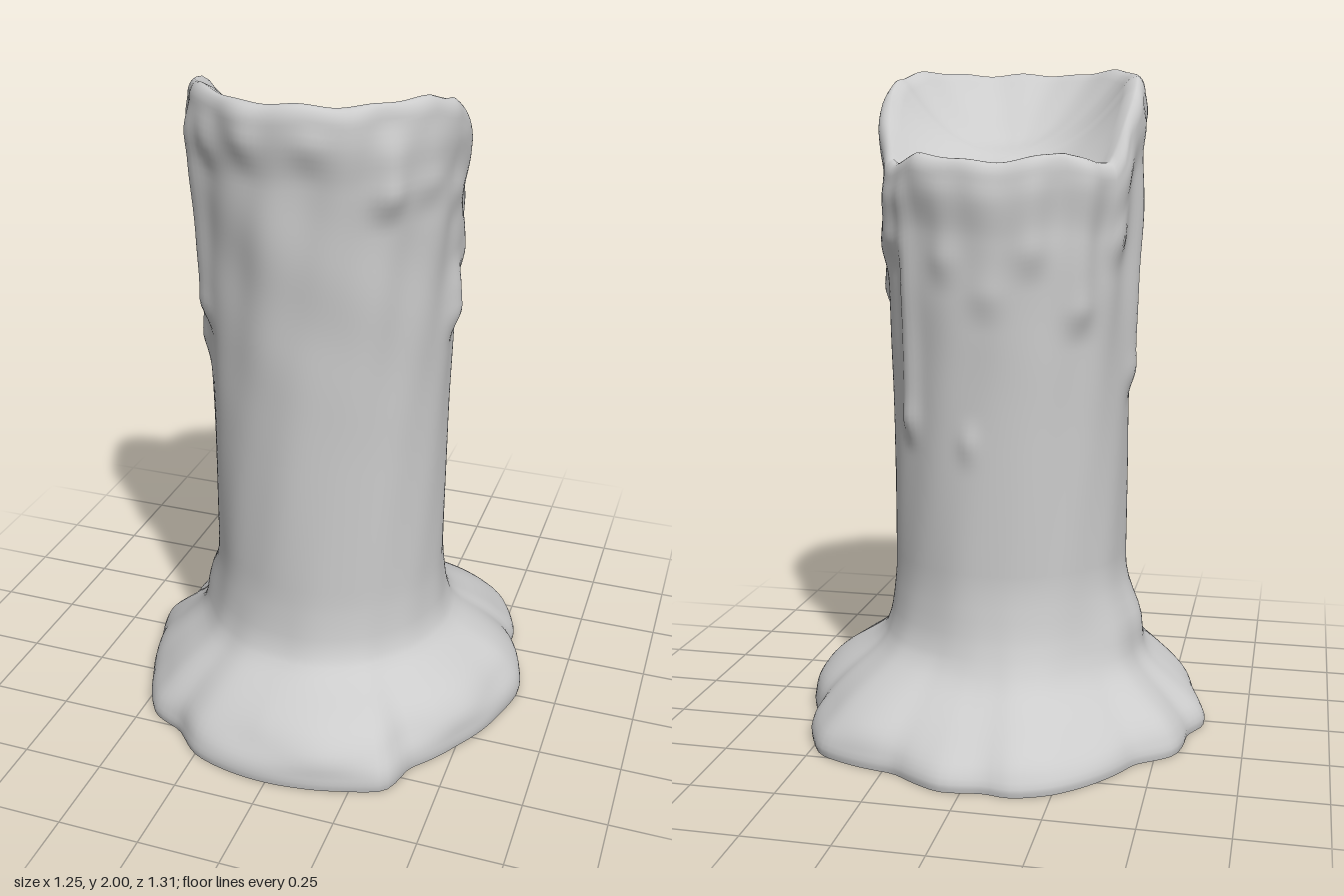
import * as THREE from 'three';

const SEG = 144, TAU = Math.PI * 2;

// Puddle outline seen from above, as x, z pairs
const outline = [
  [0.09, 0.65], [0.23, 0.62], [0.36, 0.575], [0.39, 0.457], [0.505, 0.305], [0.6, 0.1], [0.63, -0.02],
  [0.61, -0.11], [0.54, -0.25], [0.55, -0.31], [0.465, -0.49], [0.215, -0.565], [0.06, -0.655],
  [-0.065, -0.635], [-0.135, -0.655], [-0.25, -0.61], [-0.385, -0.475], [-0.45, -0.36], [-0.56, -0.28],
  [-0.58, -0.19], [-0.58, -0.12], [-0.63, -0.035], [-0.585, 0.12], [-0.53, 0.305], [-0.45, 0.47],
  [-0.34, 0.515], [-0.255, 0.605], [-0.19, 0.63],
].map(([x, z]) => [(Math.atan2(x, z) + TAU) % TAU, Math.hypot(x, z)]).sort((a, b) => a[0] - b[0]);

// Wax runs: angle from the front, top y, bottom y, half width, thickness
const drips = [
  [0.2, 1.93, 1.84, 0.13, 0.01], [-0.27, 1.94, 1.83, 0.12, 0.012], [-0.68, 1.94, 1.8, 0.13, 0.016],
  [0.75, 1.9, 1.7, 0.13, 0.024], [-0.95, 1.9, 1.3, 0.12, 0.02], [-1.3, 1.9, 1.15, 0.14, 0.016],
  [1.1, 1.9, 1.72, 0.15, 0.016], [1.6, 1.45, 1.28, 0.14, 0.022], [1.55, 1.9, 1.66, 0.16, 0.014],
  [1.9, 1.6, 1.42, 0.18, 0.012], [2.2, 1.66, 1.45, 0.16, 0.02], [2.4, 1.66, 0.92, 0.1, 0.018],
  [2.8, 1.68, 1.4, 0.13, 0.012], [3.15, 1.66, 1.3, 0.14, 0.01], [3.5, 1.68, 1.42, 0.13, 0.012],
  [3.9, 1.7, 1.25, 0.13, 0.016], [3.0, 0.95, 0.88, 0.08, 0.01], [4.3, 1.75, 1.45, 0.15, 0.016],
  [4.7, 1.85, 1.05, 0.13, 0.018],
];

const { smoothstep: smooth, lerp, clamp } = THREE.MathUtils;

// Piecewise linear lookup in rows of [key, value]
function lookup(rows, t) {
  if (t <= rows[0][0]) return rows[0][1];
  for (let i = 1; i < rows.length; i++) {
    if (t <= rows[i][0]) {
      const [a, b] = [rows[i - 1], rows[i]];
      return a[1] + (b[1] - a[1]) * (t - a[0]) / (b[0] - a[0]);
    }
  }
  return rows[rows.length - 1][1];
}

const wrapped = [...outline.slice(-1).map(([a, r]) => [a - TAU, r]), ...outline,
  ...outline.slice(0, 1).map(([a, r]) => [a + TAU, r])];
const puddleRadius = a =>
  (lookup(wrapped, a) * 2 + lookup(wrapped, (a + 0.04) % TAU) + lookup(wrapped, (a + TAU - 0.04) % TAU)) / 4;

// Rim stays high at the front and slumps toward the back
const rimRows = [[-0.37, 1.72], [-0.3, 1.74], [-0.22, 1.715], [-0.17, 1.72], [-0.1, 1.81],
  [0, 1.915], [0.08, 1.965], [0.2, 1.985], [0.35, 1.99], [0.43, 1.985]];
const rimHeight = a => lookup(rimRows, 0.03 + 0.4 * Math.cos(a)) + 0.004 * Math.sin(a * 7 + 1) + 0.003 * Math.sin(a * 13);

// Column radius with roughness and wax runs
function columnRadius(a, y) {
  const h = rimHeight(a), up = smooth(y, 0.9, 1.8);
  let r = 0.36 + 0.018 * up + 0.014 * smooth(y, h - 0.22, h - 0.08);
  r += (0.001 + 0.003 * up) * (Math.sin(a * 9 + y * 2) + Math.sin(a * 14 - y * 7 + 2));
  r += 0.003 * up * Math.sin(y * 17 + a * 4);
  for (const [da, top, bottom, w, t] of drips) {
    const d = Math.atan2(Math.sin(a - da), Math.cos(a - da)) / w;
    const end = 1 + 0.4 * Math.exp(-(((y - bottom - 0.04) / 0.06) ** 2));
    r += t * end * Math.exp(-d * d) * smooth(y, bottom - 0.06, bottom + 0.06) * (1 - smooth(y, top - 0.06, top + 0.06));
  }
  return r;
}

const columnPoint = (a, y, r) => new THREE.Vector3(Math.sin(a) * r - 0.005, y, Math.cos(a) * r + 0.02 + 0.012 * smooth(y, 1.3, 1.8));

// Foot spread from column (0) to puddle edge (1) by height: full lobes and slack slopes
const lobed = [[0, 0.985], [0.02, 1], [0.06, 0.99], [0.1, 0.93], [0.14, 0.83], [0.17, 0.72], [0.2, 0.55],
  [0.24, 0.25], [0.28, 0.1], [0.34, 0.04], [0.45, 0]];
const slack = [[0, 0.985], [0.02, 1], [0.05, 0.97], [0.08, 0.88], [0.11, 0.75], [0.14, 0.6], [0.18, 0.4],
  [0.22, 0.26], [0.28, 0.15], [0.35, 0.07], [0.48, 0]];
const footHeights = [0, 0.012, 0.025, 0.04, 0.055, 0.07, 0.085, 0.1, 0.115, 0.13, 0.145, 0.16, 0.175, 0.19, 0.205,
  0.22, 0.235, 0.25, 0.27, 0.29, 0.32, 0.35, 0.39, 0.43, 0.47, 0.51];
const taps = [-0.024, -0.012, 0, 0.012, 0.024];

function footPoint(a, y) {
  const edge = puddleRadius(a);
  const full = clamp(0.5 + 0.6 * Math.cos(a - 0.8) + 0.15 * Math.sin(a * 5 + 1), 0, 1);
  const ripple = 1 + 0.05 * Math.sin(a * 8 - 0.6) * smooth(y, 0.04, 0.12);
  // averaging neighbouring heights rounds the corners of the slope
  const spreadAt = t => lerp(lookup(slack, t), lookup(lobed, t), full);
  let spread = y < 0.03 ? spreadAt(y) : taps.reduce((sum, d) => sum + spreadAt(y + d), 0) / taps.length;
  // wax banked up against the right-hand flank
  spread += 0.12 * Math.exp(-(((a - 4.71) / 0.5) ** 2) - ((y - 0.33) / 0.08) ** 2);
  const p = columnPoint(a, y, columnRadius(a, y));
  return p.lerp(new THREE.Vector3(Math.sin(a) * edge, y, Math.cos(a) * edge), Math.min(1, spread * ripple));
}

// Shallow slanting dish inside the rim; k runs 1 at the lip to 0 at the centre
function bowlPoint(a, k) {
  const h = rimHeight(a) - 0.012;
  const p = columnPoint(a, 1.7, 0.345 * k);
  const floor = 1.72 + 0.36 * p.z;
  p.y = floor + (h - floor) * Math.pow(k, 2.4);
  p.y -= 0.03 * Math.exp(-((p.x + 0.09) ** 2 + (p.z + 0.13) ** 2) / 0.008);
  p.y += 0.005 * Math.sin(p.z * 30 + p.x * 8) * (1 - k * k);
  return p;
}

// Closed rings joined into one smooth skin
function skin(rings) {
  const pos = [], index = [];
  for (const ring of rings) for (let i = 0; i < SEG; i++) pos.push(...ring(i / SEG * TAU).toArray());
  for (let j = 0; j < rings.length - 1; j++) {
    for (let i = 0; i < SEG; i++) {
      const n = (i + 1) % SEG, a = j * SEG + i, b = j * SEG + n;
      index.push(a, b, b + SEG, a, b + SEG, a + SEG);
    }
  }
  const g = new THREE.BufferGeometry();
  g.setAttribute('position', new THREE.Float32BufferAttribute(pos, 3));
  g.setIndex(index);
  g.computeVertexNormals();
  return g;
}

export function createModel() {
  const group = new THREE.Group();
  group.name = 'meltedCandle';
  const material = new THREE.MeshStandardMaterial({ color: 0xcccccc });
  const add = (name, geometry) => {
    const mesh = new THREE.Mesh(geometry, material);
    mesh.name = name;
    group.add(mesh);
  };

  // Spread foot, column, rounded lip and hollow form one continuous skin
  const rings = footHeights.map(y => a => footPoint(a, y));
  const ROWS = 64, LIP = 0.05;
  for (let j = 1; j <= ROWS; j++) {
    rings.push(a => {
      const y = lerp(0.51, rimHeight(a) - LIP, j / ROWS);
      return columnPoint(a, y, columnRadius(a, y));
    });
  }
  for (let j = 1; j <= 6; j++) {
    const t = j / 6 * Math.PI / 2;
    rings.push(a => {
      const h = rimHeight(a), r = columnRadius(a, h - LIP);
      return columnPoint(a, h - LIP + LIP * Math.sin(t), lerp(r, 0.366, 1 - Math.cos(t)));
    });
  }
  for (let j = 0; j <= 24; j++) rings.push(a => bowlPoint(a, 1 - j / 24));
  add('waxBody', skin(rings));

  // Flat underside
  add('underside', skin([() => new THREE.Vector3(), a => footPoint(a, 0)]));

  return group;
}
